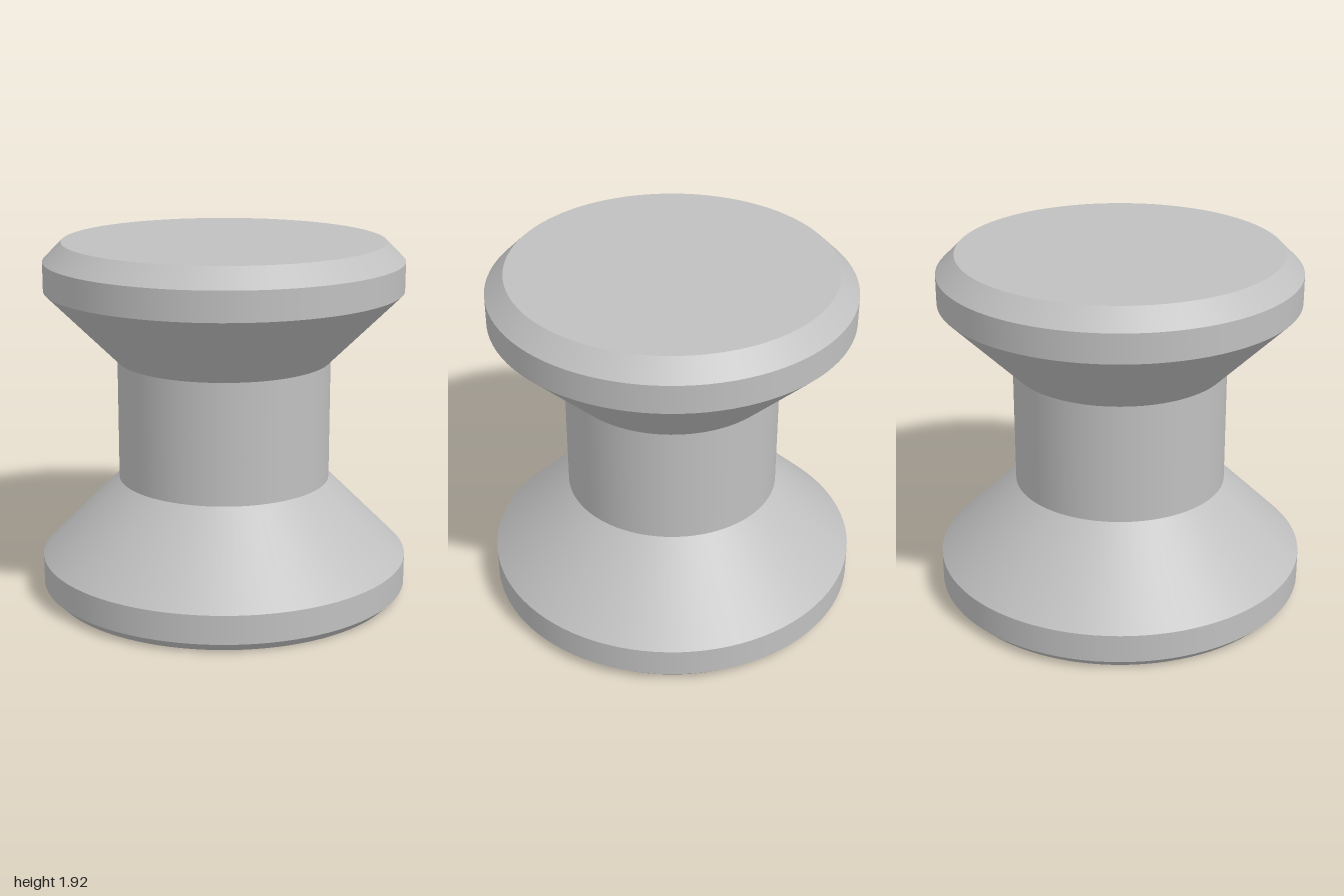
import * as THREE from 'three';
import { mergeGeometries } from 'three/addons/utils/BufferGeometryUtils.js';

const SEGMENTS = 96;

// Stack of smooth bands with sharp edges between them; profile runs [radius, y] from bottom to top
function turned(name, profile, material) {
  const bands = [];
  for (let i = 0; i < profile.length - 1; i++) {
    const [r0, y0] = profile[i];
    const [r1, y1] = profile[i + 1];
    const band = new THREE.CylinderGeometry(r1, r0, y1 - y0, SEGMENTS, 1, true);
    bands.push(band.translate(0, (y0 + y1) / 2, 0));
  }
  const mesh = new THREE.Mesh(mergeGeometries(bands), material);
  mesh.name = name;
  return mesh;
}

// Flat disc closing one end, facing up (+1) or down (-1)
function endFace(name, radius, y, facing, material) {
  const disc = new THREE.CircleGeometry(radius, SEGMENTS);
  disc.rotateX(-facing * Math.PI / 2).translate(0, y, 0);
  const mesh = new THREE.Mesh(disc, material);
  mesh.name = name;
  return mesh;
}

export function createModel() {
  const group = new THREE.Group();
  group.name = 'spoolKnob';
  const grey = new THREE.MeshStandardMaterial({ color: 0xc0c0c0 });
  grey.name = 'light grey';

  group.add(
    // Wide foot: small bottom chamfer, rim, then a cone up to the stem
    endFace('bottomFace', 0.95, 0, -1, grey),
    turned('base', [[0.95, 0], [1, 0.05], [1, 0.205], [0.575, 0.63]], grey),
    // Straight waist
    turned('stem', [[0.575, 0.63], [0.575, 1.285]], grey),
    // Flared head: cone, rim and top chamfer
    turned('head', [[0.575, 1.285], [0.96, 1.67], [0.96, 1.825], [0.86, 1.925]], grey),
    endFace('topFace', 0.86, 1.925, 1, grey)
  );
  return group;
}
